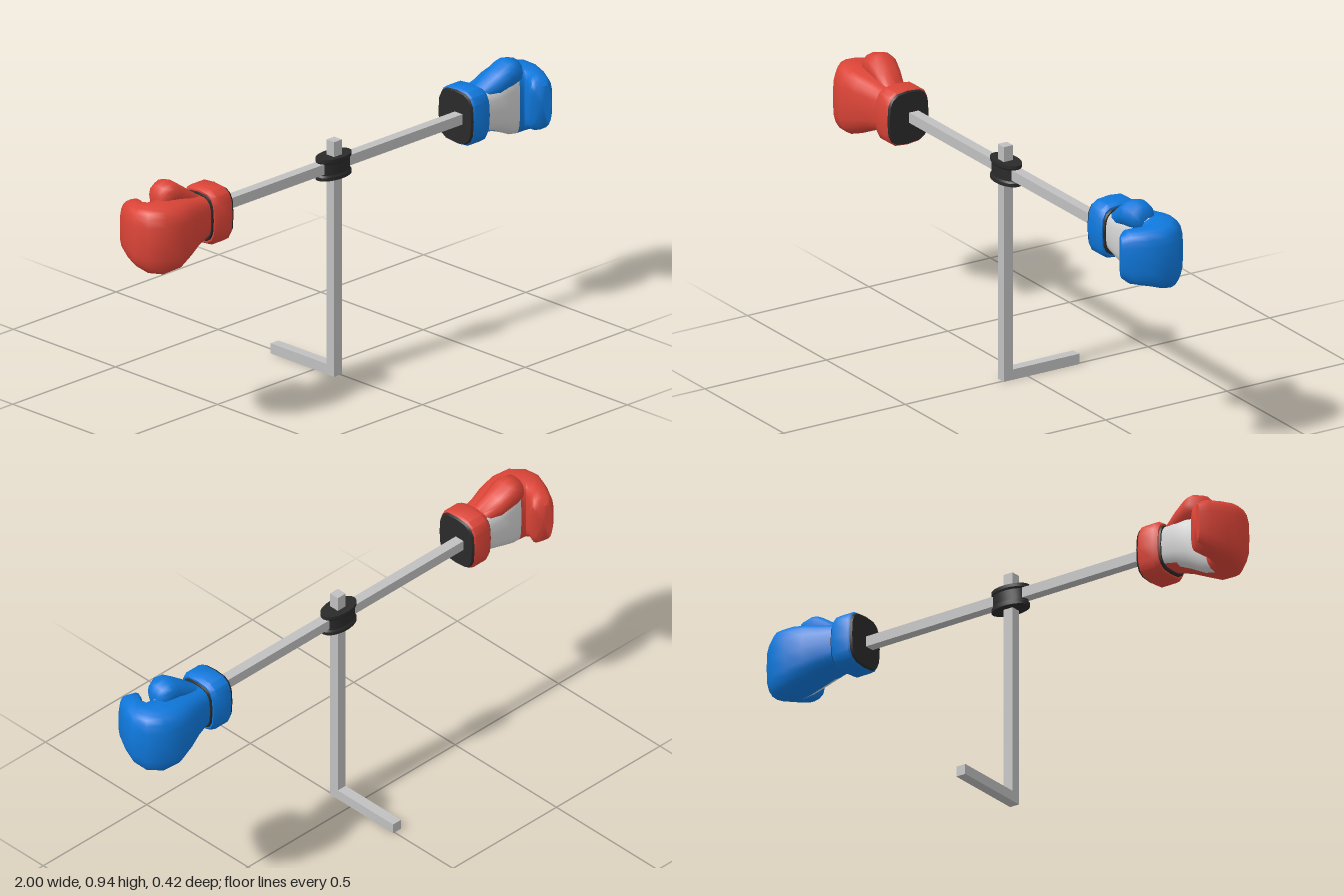
import * as THREE from 'three';
import { toCreasedNormals } from 'three/addons/utils/BufferGeometryUtils.js';

const paint = (name, color) => Object.assign(new THREE.MeshStandardMaterial({ color }), { name });

// Skin rounded-box rings. Each ring: [backX, backZ, palmX, palmZ, lowY, highY].
// isSecond(i, t) picks the strips that take the second material.
function loft(rings, { n = 16, power = 0.62, crease = 0.7, isSecond = () => false } = {}) {
  const pos = [], first = [], second = [];
  const bulge = v => Math.sign(v) * Math.abs(v) ** power;
  for (const [bx, bz, px, pz, lo, hi] of rings) {
    for (let j = 0; j < n; j++) {
      const t = (j / n) * Math.PI * 2;
      const c = bulge(Math.cos(t)), s = bulge(Math.sin(t));
      pos.push((bx + px) / 2 + c * (bx - px) / 2, (lo + hi) / 2 + s * (hi - lo) / 2, (bz + pz) / 2 + c * (bz - pz) / 2);
    }
  }
  for (let i = 0; i < rings.length - 1; i++) {
    for (let j = 0; j < n; j++) {
      const k = (j + 1) % n;
      const a = i * n + j, b = i * n + k, c = b + n, d = a + n;
      (isSecond(i, ((j + 0.5) / n) * Math.PI * 2) ? second : first).push(a, b, c, a, c, d);
    }
  }
  // end caps
  [0, rings.length - 1].forEach((i, end) => {
    const [bx, bz, px, pz, lo, hi] = rings[i];
    const centre = pos.length / 3;
    pos.push((bx + px) / 2, (lo + hi) / 2, (bz + pz) / 2);
    for (let j = 0; j < n; j++) {
      const a = i * n + j, b = i * n + (j + 1) % n;
      first.push(centre, end ? a : b, end ? b : a);
    }
  });
  const g = new THREE.BufferGeometry();
  g.setAttribute('position', new THREE.Float32BufferAttribute(pos, 3));
  g.setIndex([...first, ...second]);
  g.addGroup(0, first.length, 0);
  g.addGroup(first.length, second.length, 1);
  return toCreasedNormals(g, crease);
}

// Straight ring across x
const ring = (x, y, z, ry, rz) => [x, z - rz, x, z + rz, y - ry, y + ry];

function part(parent, name, geometry, material, x = 0, y = 0, z = 0) {
  const m = new THREE.Mesh(geometry, material);
  m.name = name;
  m.position.set(x, y, z);
  parent.add(m);
  return m;
}

function makeGlove(name, leather, palm, black) {
  const glove = new THREE.Group();
  glove.name = name;

  // hand and curled fist in one sweep, with the pale palm on the inside
  part(glove, 'fist', loft([
    [0.69, -0.01, 0.69, 0.125, 0.705, 0.86],
    [0.75, -0.025, 0.75, 0.132, 0.69, 0.87],
    [0.80, -0.042, 0.795, 0.128, 0.67, 0.88],
    [0.865, -0.054, 0.84, 0.115, 0.645, 0.887],
    [0.935, -0.037, 0.868, 0.105, 0.637, 0.893],
    [0.985, 0.005, 0.885, 0.11, 0.645, 0.887],
    [1.0, 0.06, 0.88, 0.13, 0.66, 0.88],
    [0.982, 0.12, 0.862, 0.15, 0.67, 0.875],
    [0.95, 0.18, 0.853, 0.165, 0.68, 0.868],
    [0.92, 0.206, 0.862, 0.178, 0.70, 0.85],
  ], {
    n: 20, crease: 0.95,
    isSecond: (i, t) => i < 4 && Math.abs(t - Math.PI) < Math.PI * (i === 0 ? 0.32 : 0.42),
  }), [leather, palm]);

  // thumb lying along the top
  part(glove, 'thumb', loft([
    ring(0.70, 0.84, 0.07, 0.025, 0.04),
    ring(0.755, 0.865, 0.08, 0.04, 0.05),
    ring(0.80, 0.888, 0.085, 0.048, 0.055),
    ring(0.825, 0.892, 0.085, 0.049, 0.055),
    ring(0.862, 0.888, 0.08, 0.043, 0.045),
    ring(0.876, 0.88, 0.075, 0.025, 0.028),
  ], { n: 12, power: 0.85, crease: 0.95 }), leather);

  // cuff, dark opening and dark seam
  part(glove, 'cuff', loft([
    ring(0.603, 0.78, 0.058, 0.097, 0.082),
    ring(0.612, 0.78, 0.058, 0.104, 0.088),
    ring(0.672, 0.78, 0.058, 0.104, 0.088),
    ring(0.688, 0.78, 0.058, 0.094, 0.08),
  ]), leather);
  part(glove, 'cuffOpening', loft([
    ring(0.597, 0.78, 0.058, 0.094, 0.08),
    ring(0.606, 0.78, 0.058, 0.099, 0.084),
  ]), black);
  part(glove, 'cuffSeam', loft([
    ring(0.682, 0.78, 0.058, 0.09, 0.077),
    ring(0.695, 0.78, 0.058, 0.085, 0.073),
  ]), black);
  return glove;
}

export function createModel() {
  const model = new THREE.Group();
  const steel = paint('steel grey', 0xc0c0c0);
  const black = paint('black', 0x2a2a2a);
  const palm = paint('palm white', 0xd2d2d2);
  const red = paint('red', 0xdb4437);
  const blue = paint('blue', 0x0f78dc);

  // stand and cross bar
  const cx = -0.012, cz = 0.08, w = 0.038;
  part(model, 'post', new THREE.BoxGeometry(w, 0.87, w), steel, cx, 0.435, cz);
  part(model, 'foot', new THREE.BoxGeometry(w, 0.038, 0.275), steel, cx, 0.019, -0.0745);
  part(model, 'crossBar', new THREE.BoxGeometry(1.22, w, w), steel, 0, 0.78, 0.077);

  // oval hub with flared rims
  const profile = [[0, -0.039], [0.077, -0.039], [0.077, -0.027], [0.071, -0.02],
    [0.071, 0.02], [0.077, 0.027], [0.077, 0.039], [0, 0.039]].map(p => new THREE.Vector2(...p));
  const hub = part(model, 'hub', toCreasedNormals(new THREE.LatheGeometry(profile, 28), 0.5), black, cx, 0.776, 0.077);
  hub.scale.z = 0.56;

  // opposed gloves, half a turn apart
  model.add(makeGlove('leftGlove', blue, palm, black));
  const right = makeGlove('rightGlove', red, palm, black);
  right.rotation.y = Math.PI;
  right.position.z = 0.154;
  model.add(right);
  return model;
}
